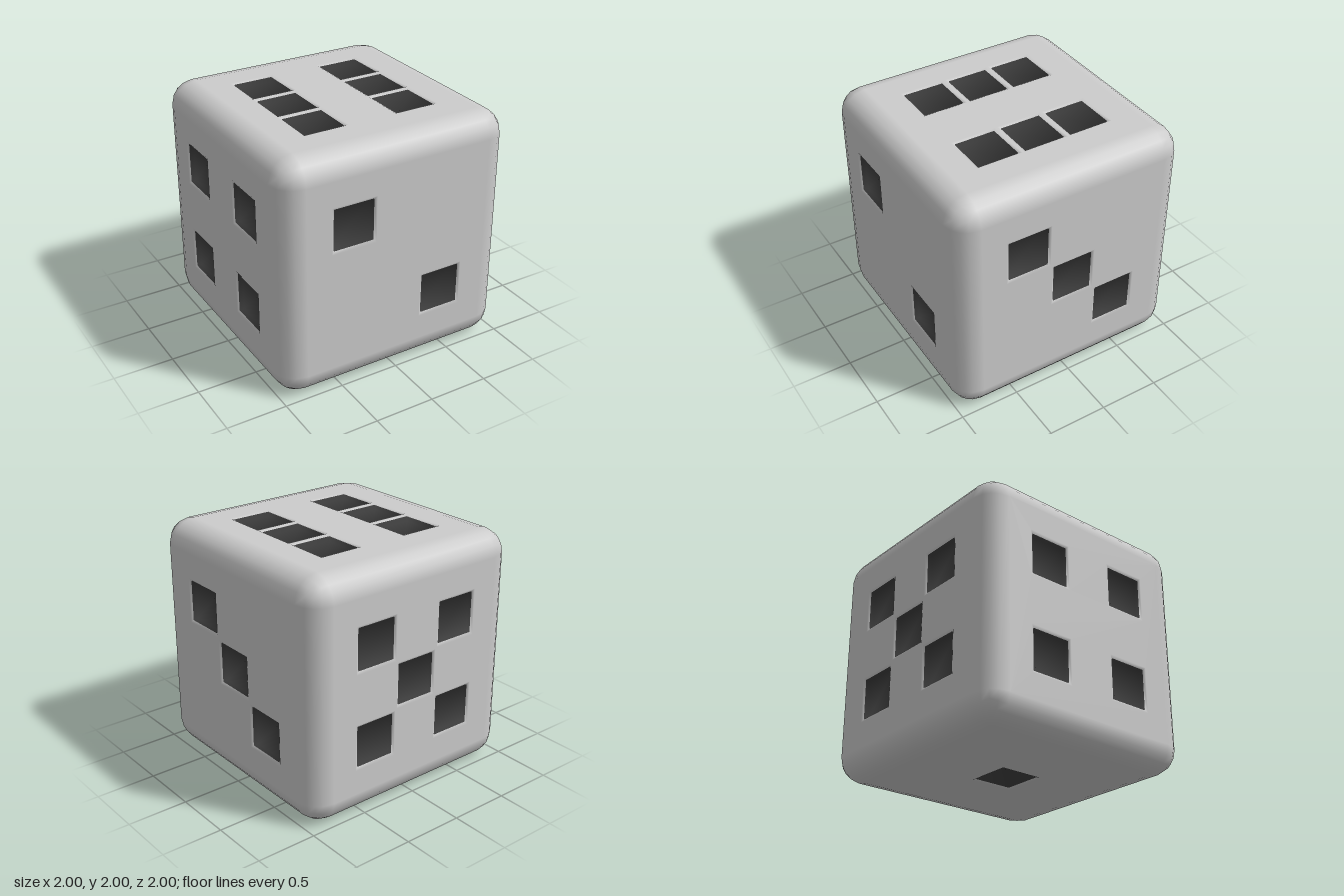
import * as THREE from 'three';
import { mergeVertices } from 'three/addons/utils/BufferGeometryUtils.js';
import { RoundedBoxGeometry } from 'three/addons/geometries/RoundedBoxGeometry.js';

const RADIUS = 0.2, FLAT = 1.6, PIP = 0.34, RIM = 0.385, RIM_DEPTH = 0.01, DEPTH = 0.04;

// Rounded edges and corners: a rounded cube without its six flat faces
function edgeGeometry() {
  const box = new RoundedBoxGeometry(2, 2, 2, 2, RADIUS);
  const p = box.attributes.position, n = box.attributes.normal;
  const pos = [], nor = [];
  const isFlat = (i) => ['getX', 'getY', 'getZ'].some((get) =>
    [0, 1, 2].every((k) => Math.abs(n[get](i + k)) > 0.999));
  for (let i = 0; i < p.count; i += 3) {
    if (isFlat(i)) continue;
    for (let k = i; k < i + 3; k++) {
      pos.push(p.getX(k), p.getY(k), p.getZ(k));
      nor.push(n.getX(k), n.getY(k), n.getZ(k));
    }
  }
  const geo = new THREE.BufferGeometry();
  geo.setAttribute('position', new THREE.Float32BufferAttribute(pos, 3));
  geo.setAttribute('normal', new THREE.Float32BufferAttribute(nor, 3));
  return geo;
}

function trace(path, size, x = 0, y = 0) {
  const h = size / 2;
  path.moveTo(x - h, y - h);
  path.lineTo(x + h, y - h);
  path.lineTo(x + h, y + h);
  path.lineTo(x - h, y + h);
  path.closePath();
  return path;
}

// Flat face with a square hole for every pip
function faceGeometry(pips) {
  const shape = trace(new THREE.Shape(), FLAT);
  shape.holes = pips.map(([x, y]) => trace(new THREE.Path(), RIM, x, y));
  return new THREE.ShapeGeometry(shape);
}

// Normals leaning towards the middle of a pip, for soft shading
function leanInwards(geo, lift) {
  const p = geo.attributes.position, n = new THREE.Vector3();
  for (let i = 0; i < p.count; i++) {
    n.set(-p.getX(i), -p.getY(i), lift(p.getZ(i))).normalize();
    geo.attributes.normal.setXYZ(i, n.x, n.y, n.z);
  }
}

// Shallow open tray seen from the inside, opening at z = 0
function pitGeometry() {
  let geo = new THREE.BoxGeometry(PIP, PIP, DEPTH);
  geo.setIndex(Array.from(geo.index.array).slice(0, 30));
  geo.scale(1, 1, -1);
  geo.deleteAttribute('normal');
  geo.deleteAttribute('uv');
  geo = mergeVertices(geo);
  geo.computeVertexNormals();
  leanInwards(geo, () => PIP / 2);
  return geo.translate(0, 0, -DEPTH / 2);
}

// Narrow frame round a pit
function rimGeometry() {
  const geo = new THREE.CylinderGeometry(RIM / Math.SQRT2, PIP / Math.SQRT2, RIM_DEPTH,
    4, 1, true, Math.PI / 4);
  geo.rotateX(Math.PI / 2);
  geo.scale(-1, 1, 1);
  leanInwards(geo, (z) => (z > 0 ? 10 : 0.35));
  return geo.translate(0, 0, -RIM_DEPTH / 2);
}

export function createModel() {
  const grey = new THREE.MeshStandardMaterial({ color: 0xcccccc });
  const dark = new THREE.MeshStandardMaterial({ color: 0x3c3c3c });
  const pit = pitGeometry(), rim = rimGeometry();

  const model = new THREE.Group();
  model.name = 'die';
  const body = new THREE.Group();
  body.name = 'body';
  body.position.y = 1;
  model.add(body);

  const add = (parent, name, geo, mat, x = 0, y = 0, z = 0) => {
    const mesh = new THREE.Mesh(geo, mat);
    mesh.name = name;
    mesh.position.set(x, y, z);
    parent.add(mesh);
  };
  add(body, 'roundedEdges', edgeGeometry(), grey);

  // Pip layouts in face coordinates
  const a = 0.4, q = Math.PI / 2;
  const centre = [[0, 0]];
  const two = [[-a, a], [a, -a]];
  const four = [...two, [a, a], [-a, -a]];
  const faces = [
    ['frontFace', two, 0, 0],
    ['sideFaceThree', [...two, ...centre], 0, q],
    ['backFace', [...four, ...centre], 0, 2 * q],
    ['sideFaceFour', four, 0, -q],
    ['topFace', [...four, [-a, 0], [a, 0]], -q, 0],
    ['bottomFace', centre, q, 0],
  ];
  for (const [name, pips, rx, ry] of faces) {
    const face = new THREE.Group();
    face.name = name;
    face.rotation.set(rx, ry, 0);
    body.add(face);
    add(face, name + 'Panel', faceGeometry(pips), grey, 0, 0, 1);
    for (const [x, y] of pips) {
      add(face, 'pipRim', rim, grey, x, y, 1);
      add(face, 'pip', pit, dark, x, y, 1 - RIM_DEPTH);
    }
  }
  return model;
}
